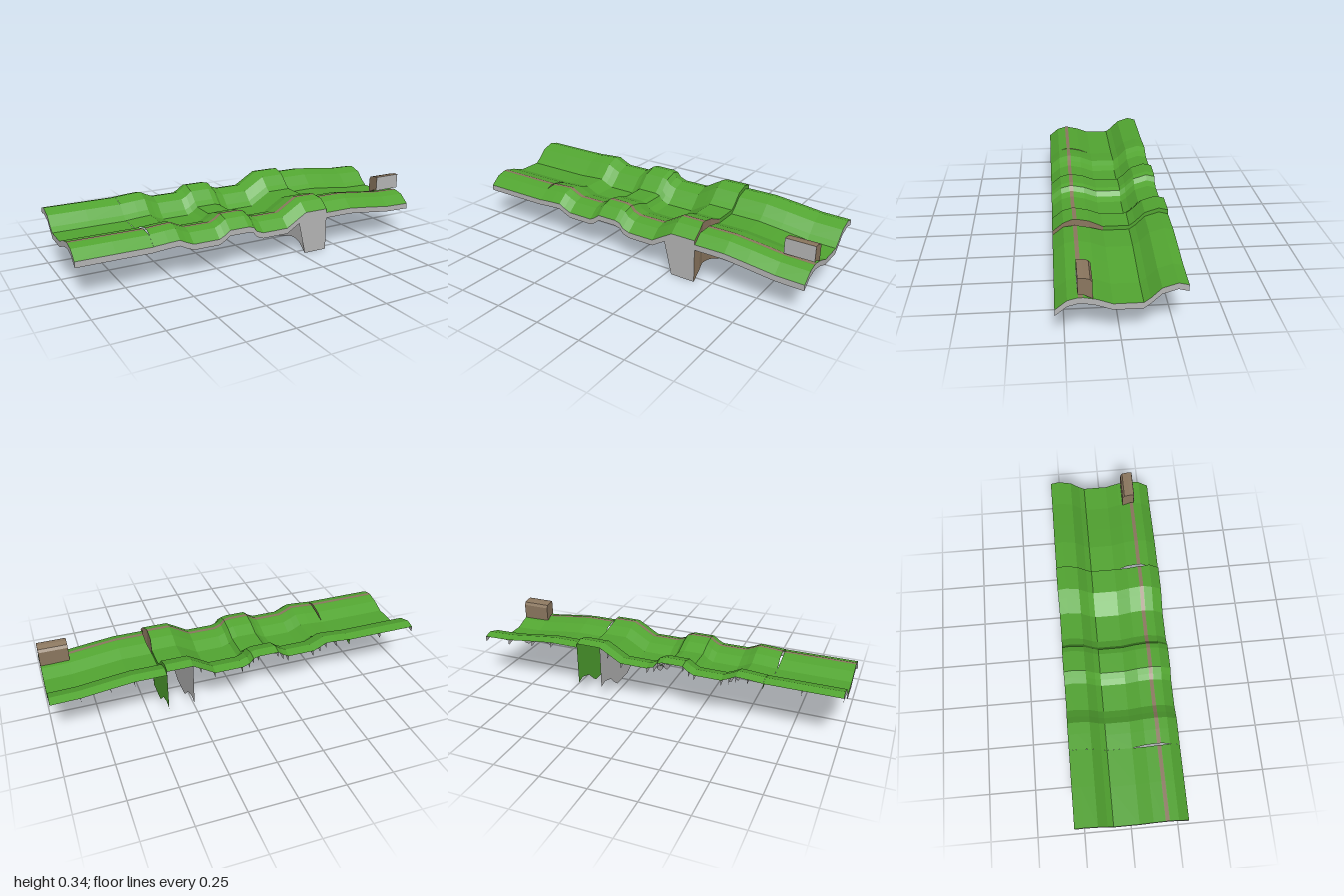
import * as THREE from 'three';

const mat = (name, color, extra = {}) => Object.assign(new THREE.MeshStandardMaterial({ color, ...extra }), { name });
const DS = { side: THREE.DoubleSide };
const green = mat('grass green', 0x52a531, DS);
const brown = mat('earth brown', 0x8b775f, DS);
const grey = mat('pale grey', 0xb6b6b6, DS);

// Cross-section of the ground [z, y], front edge to back edge
const SECTION = [
  [0.29, 0.235], [0.235, 0.28], [0.19, 0.292], [0.165, 0.292], [0.107, 0.28], [0.037, 0.253],
  [-0.095, 0.253], [-0.125, 0.275], [-0.173, 0.323], [-0.243, 0.345], [-0.29, 0.333],
];
const SKIRT = 0.031;
const DEEP = 0.235;

// Stretches of ground: stations are [x, height offset, skirt depth]
const STRETCHES = [
  { name: 'rearGround', insetStart: 0, insetEnd: 0.005,
    stations: [[-1, -0.035], [-0.8, -0.035], [-0.61, -0.035]] },
  { name: 'middleGround', insetStart: 0.005, insetEnd: 0.012,
    stations: [[-0.61, -0.034], [-0.53, -0.028], [-0.47, -0.025], [-0.435, -0.043], [-0.395, -0.06], [-0.25, -0.06],
      [-0.22, -0.045], [-0.19, -0.022], [-0.08, -0.022], [-0.05, -0.03], [-0.03, -0.055],
      [0.01, -0.07], [0.16, -0.07], [0.235, -0.025], [0.278, 0, DEEP], [0.415, 0, DEEP]] },
  { name: 'frontGround', insetStart: 0.012, insetEnd: 0,
    stations: [[0.415, -0.022], [0.58, -0.022], [0.7, -0.035], [0.85, -0.053], [1, -0.057]] },
];

// Flat-shaded sheet through rows of points
function sheet(rows) {
  const n = rows[0].length, pos = [], idx = [];
  rows.forEach((row) => row.forEach((p) => pos.push(...p)));
  for (let i = 0; i < rows.length - 1; i++) {
    for (let j = 0; j < n - 1; j++) {
      const a = i * n + j, b = a + n;
      idx.push(a, b, b + 1, a, b + 1, a + 1);
    }
  }
  const g = new THREE.BufferGeometry();
  g.setAttribute('position', new THREE.Float32BufferAttribute(pos, 3));
  g.setIndex(idx);
  const flat = g.toNonIndexed();
  flat.computeVertexNormals();
  return flat;
}

export function createModel() {
  const model = new THREE.Group();
  model.name = 'groundStrip';
  const add = (parent, name, geometry, material) => {
    const mesh = new THREE.Mesh(geometry, material);
    mesh.name = name;
    parent.add(mesh);
  };
  const lower = (row, d) => row.map(([x, y, z]) => [x, y - d, z]);

  for (const { name, stations, insetStart, insetEnd } of STRETCHES) {
    const group = new THREE.Group();
    group.name = name;
    model.add(group);
    const last = stations.length - 1;

    // Ends pull back along the front ridge, leaving slits between stretches
    const rows = stations.map(([x, off], i) => {
      const pull = i === 0 ? insetStart : i === last ? -insetEnd : 0;
      return SECTION.map(([z, y], j) => [x + (j >= 2 && j <= 4 ? pull : 0), y + off, z]);
    });
    const depths = stations.map((s) => s[2] ?? SKIRT);
    add(group, 'grass', sheet(rows), green);

    // Skirt along the front edge
    const edge = rows.map((r) => r[0]);
    const hem = edge.map(([x, y, z], i) => [x, y - depths[i], z]);
    add(group, 'frontSkirt', sheet([hem, edge].map((r) => r.slice())), grey);

    // Hanging ribs; cliffs at the slits are earth in front and grass behind
    rows.forEach((row, i) => {
      const bottom = lower(row, depths[i]);
      if (i === last && insetEnd > 0) {
        add(group, 'earthCliff', sheet([bottom.slice(0, 6), row.slice(0, 6)]), brown);
        add(group, 'grassCliff', sheet([bottom.slice(5), row.slice(5)]), green);
      } else if (i > 0 || insetStart === 0) {
        add(group, 'rib', sheet([bottom, row]), grey);
      }
    });

    // Narrow stripe on the front ridge, with its underside
    const stripe = (dy) => rows.map((r) => [[r[2][0], r[2][1] + dy, 0.187], [r[3][0], r[3][1] + dy, 0.167]]);
    add(group, 'ridgeStripe', sheet(stripe(0.002)), brown);
    add(group, 'ridgeStripeUnderside', sheet(stripe(-0.002)), grey);
  }

  // Small block on the ridge, rounded at the back
  const profile = new THREE.Shape([
    [0.19, 0.252], [0.19, 0.333], [0.165, 0.333], [0.135, 0.325], [0.125, 0.31], [0.125, 0.228], [0.165, 0.25],
  ].map(([z, y]) => new THREE.Vector2(-z, y)));
  const block = new THREE.ExtrudeGeometry(profile, { depth: 0.155, bevelEnabled: false });
  block.rotateY(Math.PI / 2).translate(0.845, 0, 0);
  add(model, 'block', block, brown);
  const face = new THREE.PlaneGeometry(0.155, 0.081).translate(0.9225, 0.2925, 0.191);
  add(model, 'blockFace', face, grey);

  return model;
}
